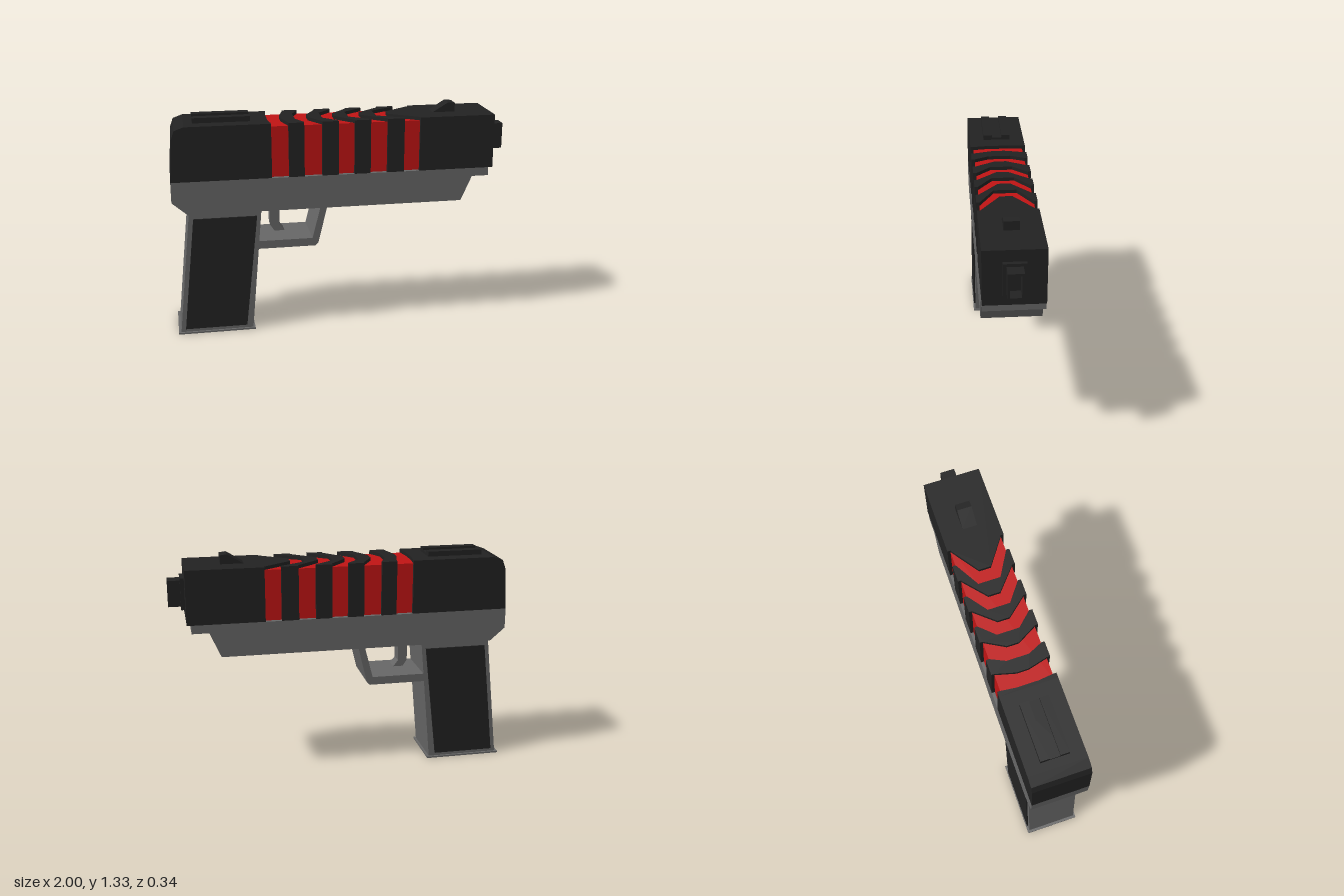
import * as THREE from 'three';

const mat = (color) => new THREE.MeshStandardMaterial({ color, flatShading: true });

export function createModel() {
  const group = new THREE.Group();
  const black = mat(0x222222), grey = mat(0x666666), red = mat(0xc01414);

  const add = (name, geometry, material) => {
    const mesh = new THREE.Mesh(geometry, material);
    mesh.name = name;
    group.add(mesh);
    return mesh;
  };
  const toShape = (pts) => new THREE.Shape(pts.map(([x, y]) => new THREE.Vector2(x, y)));
  const extrude = (shape, depth) => new THREE.ExtrudeGeometry(shape, { depth, bevelEnabled: false });

  // Side profile (x, y) extruded across z from z0 to z1
  const side = (name, pts, z0, z1, material) =>
    add(name, extrude(toShape(pts), z1 - z0).translate(0, 0, z0), material);
  // Box given by its limits
  const box = (name, [x0, x1], [y0, y1], [z0, z1], material) =>
    add(name, new THREE.BoxGeometry(x1 - x0, y1 - y0, z1 - z0)
      .translate((x0 + x1) / 2, (y0 + y1) / 2, (z0 + z1) / 2), material);

  const W = 0.168, BOTTOM = 0.95, TOP = 1.27;

  // Slide: rear block with a rounded back edge
  side('slideRear', [[-1, BOTTOM], [-0.45, BOTTOM], [-0.45, TOP], [-0.91, TOP],
    [-0.965, 1.25], [-0.983, 1.2]], -W, W, black);

  // Red core, visible at the bottom of the grooves
  box('redCore', [-0.46, 0.5], [BOTTOM + 0.002, 1.25], [-0.15, 0.15], red);

  // Chevron grooves: [rear edge at side, rear at centre, front at side, front at centre]
  const grooves = [
    [-0.42, -0.43, -0.32, -0.35],
    [-0.23, -0.27, -0.125, -0.19],
    [-0.03, -0.11, 0.065, -0.035],
    [0.16, 0.045, 0.26, 0.125],
    [0.36, 0.21, 0.455, 0.29],
  ];
  // Black segments between the grooves, drawn in plan and extruded upwards
  const edge = (xSide, xMid, flat) => [[xSide, -W], [xSide, -0.15], [xMid, -flat],
    [xMid, flat], [xSide, 0.15], [xSide, W]];
  for (let i = 0; i <= grooves.length; i++) {
    const rear = i === 0 ? [[-0.45, -W], [-0.45, W]]
      : edge(grooves[i - 1][2], grooves[i - 1][3], 0.035);
    const front = i === grooves.length ? [[0.905, -W], [0.905, W]]
      : edge(grooves[i][0], grooves[i][1], 0.065);
    const geometry = extrude(toShape([...front, ...rear.reverse()]), TOP - BOTTOM)
      .rotateX(-Math.PI / 2).translate(0, BOTTOM, 0);
    add('slideSegment' + i, geometry, black);
  }

  // Rear sight: low plate with two rails
  box('rearSightPlate', [-0.86, -0.53], [TOP, 1.285], [-0.082, 0.082], black);
  for (const s of [-1, 1]) {
    const z = [0.03 * s, 0.082 * s].sort((a, b) => a - b);
    box('rearSightRail', [-0.86, -0.53], [1.285, 1.3], z, black);
  }
  // Front sight wedge
  side('frontSight', [[0.56, TOP], [0.695, TOP], [0.695, 1.322], [0.655, 1.327]], -0.043, 0.043, black);

  // Muzzle: collar and a hollow square barrel
  box('muzzleCollar', [0.9, 0.928], [1.015, 1.203], [-0.062, 0.062], black);
  const rect = (Shape, w, h) => new Shape([[-w, -h], [w, -h], [w, h], [-w, h]]
    .map(([x, y]) => new THREE.Vector2(x, y)));
  const barrel = rect(THREE.Shape, 0.043, 0.077);
  barrel.holes.push(rect(THREE.Path, 0.03, 0.062));
  add('barrel', extrude(barrel, 0.075).rotateY(Math.PI / 2).translate(0.925, 1.109, 0), black);

  // Frame below the slide
  side('frame', [[-1, 0.83], [-0.91, 0.752], [0.715, 0.752], [0.78, 0.9], [0.88, 0.9],
    [0.88, BOTTOM], [-1, BOTTOM]], -W, W, grey);

  // Grip with dark side panels and base plate
  side('grip', [[-0.985, 0.01], [-0.553, 0.01], [-0.485, 0.755], [-0.905, 0.755]], -0.148, 0.148, grey);
  for (const s of [-1, 1]) {
    const z = [0.14 * s, 0.156 * s].sort((a, b) => a - b);
    side('gripPanel', [[-0.957, 0.03], [-0.59, 0.03], [-0.512, 0.72], [-0.882, 0.72]], z[0], z[1], black);
  }
  box('basePlate', [-1, -0.54], [0, 0.01], [-0.16, 0.16], grey);

  // Trigger guard and trigger
  side('triggerGuard', [[-0.52, 0.512], [-0.168, 0.512], [-0.15, 0.53], [-0.095, 0.755],
    [-0.135, 0.755], [-0.185, 0.56], [-0.52, 0.56]], -0.148, 0.148, grey);
  side('trigger', [[-0.425, 0.755], [-0.425, 0.62], [-0.4, 0.582], [-0.34, 0.582],
    [-0.37, 0.62], [-0.367, 0.755]], -0.04, 0.04, grey);

  return group;
}
